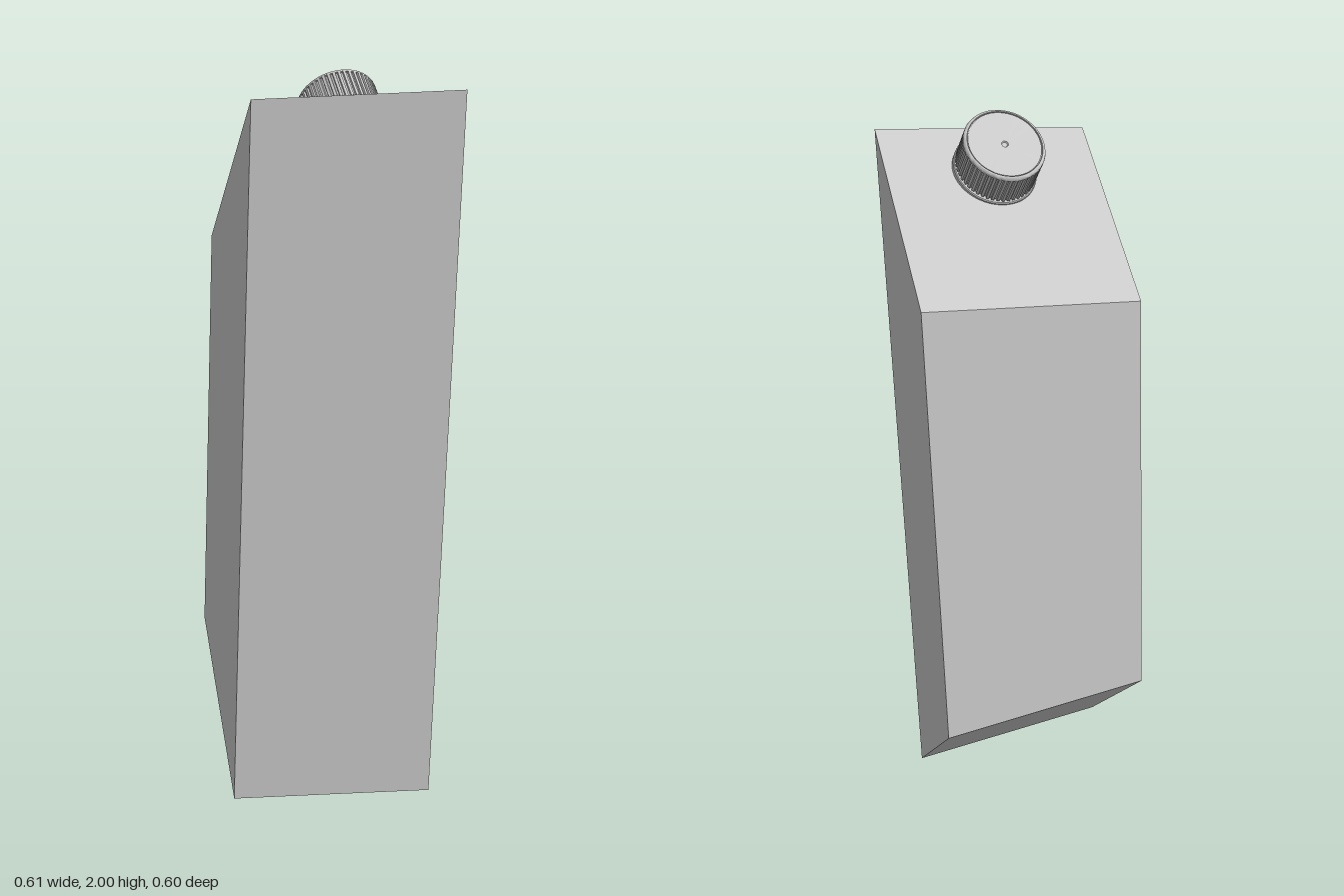
import * as THREE from 'three';
import { toCreasedNormals } from 'three/addons/utils/BufferGeometryUtils.js';

const grey = new THREE.MeshStandardMaterial({ color: 0xcccccc });
grey.name = 'carton grey';

function addMesh(parent, name, geometry) {
  const mesh = new THREE.Mesh(geometry, grey);
  mesh.name = name;
  parent.add(mesh);
  return mesh;
}

// Turned part from [radius, height] pairs, listed upwards and then inwards
function turned(profile, segments = 64) {
  const points = profile.map(([r, y]) => new THREE.Vector2(r, y));
  return toCreasedNormals(new THREE.LatheGeometry(points, segments), 0.6);
}

// Leaning carton: a box whose eight corners move to the cut top and bottom planes
function cartonGeometry() {
  const corners = {
    '-++': [-0.288, 1.9, 0.297], '+++': [0.292, 1.943, 0.285],
    '-+-': [-0.275, 1.573, -0.186], '++-': [0.305, 1.616, -0.198],
    '--+': [-0.307, 0.052, 0.141], '+-+': [0.27, 0, 0.125],
    '---': [-0.287, 0.452, -0.28], '+--': [0.292, 0.4, -0.298],
  };
  const geometry = new THREE.BoxGeometry(1, 1, 1);
  const pos = geometry.attributes.position;
  const sign = (v) => (v > 0 ? '+' : '-');
  for (let i = 0; i < pos.count; i++) {
    const key = sign(pos.getX(i)) + sign(pos.getY(i)) + sign(pos.getZ(i));
    pos.setXYZ(i, ...corners[key]);
  }
  geometry.computeVertexNormals();
  return geometry;
}

// Ribbed grip: a gear-shaped outline extruded along the cap axis
function gripGeometry(ribs, inner, outer, bottom, top) {
  const shape = new THREE.Shape();
  for (let i = 0; i < ribs; i++) {
    [[0, inner], [0.3, inner], [0.4, outer], [0.9, outer]].forEach(([t, r], k) => {
      const a = ((i + t) / ribs) * Math.PI * 2;
      const x = r * Math.cos(a), y = r * Math.sin(a);
      if (i + k === 0) shape.moveTo(x, y);
      else shape.lineTo(x, y);
    });
  }
  const hole = new THREE.Path();
  hole.absarc(0, 0, 0.1, 0, Math.PI * 2, true);
  shape.holes.push(hole);
  const geometry = new THREE.ExtrudeGeometry(shape, {
    depth: top - bottom, bevelEnabled: false, curveSegments: 24,
  });
  geometry.rotateX(-Math.PI / 2);
  geometry.translate(0, bottom, 0);
  return geometry;
}

export function createModel() {
  const model = new THREE.Group();
  model.name = 'carton';
  addMesh(model, 'cartonBody', cartonGeometry());

  // Screw cap, tilted with the sloping top
  const cap = new THREE.Group();
  cap.name = 'screwCap';
  const axis = new THREE.Vector3(-0.057, 0.765, -0.641).normalize();
  cap.quaternion.setFromUnitVectors(new THREE.Vector3(0, 1, 0), axis);
  cap.position.set(0.005, 1.837, 0.17);
  model.add(cap);

  // Neck reaching into the carton
  addMesh(cap, 'neck', turned([[0.1, -0.03], [0.1, 0.03]]));

  // Smooth band under the grip
  addMesh(cap, 'sealBand', turned([
    [0.09, 0], [0.11, 0], [0.1125, 0.003], [0.1125, 0.017], [0.11, 0.02], [0.1, 0.02],
  ]));

  addMesh(cap, 'ribbedGrip', gripGeometry(48, 0.104, 0.109, 0.025, 0.112));

  // Rounded rim, narrow groove and flat lid with a centre dimple
  addMesh(cap, 'lid', turned([
    [0.1, 0.108], [0.108, 0.11], [0.1085, 0.113], [0.107, 0.117], [0.104, 0.12],
    [0.1, 0.121], [0.099, 0.12], [0.099, 0.116], [0.097, 0.116], [0.097, 0.119],
    [0.009, 0.119], [0.007, 0.116], [0, 0.114],
  ]));

  return model;
}
